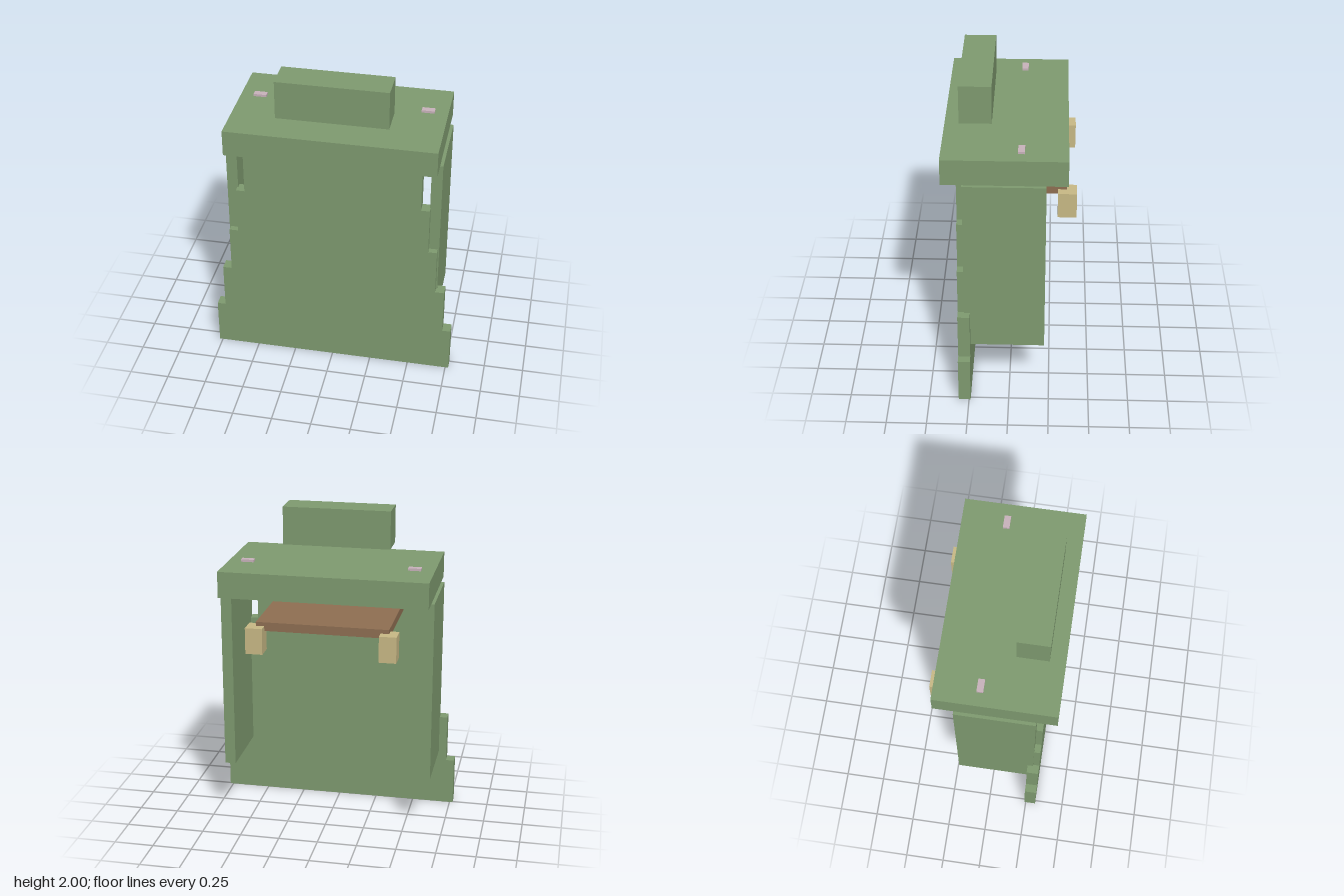
import * as THREE from 'three';

const green = new THREE.MeshStandardMaterial({ name: 'sage green', color: 0x7f9b70 });
const brown = new THREE.MeshStandardMaterial({ name: 'brown', color: 0x8f6f52 });
const tan = new THREE.MeshStandardMaterial({ name: 'tan', color: 0xc9ba86 });
const pink = new THREE.MeshStandardMaterial({ name: 'pale pink', color: 0xc9b3bc });

// Box given by its lower and upper limits on each axis
function block(name, material, [x0, x1], [y0, y1], [z0, z1]) {
  const mesh = new THREE.Mesh(new THREE.BoxGeometry(x1 - x0, y1 - y0, z1 - z0), material);
  mesh.position.set((x0 + x1) / 2, (y0 + y1) / 2, (z0 + z1) / 2);
  mesh.name = name;
  return mesh;
}

export function createModel() {
  const model = new THREE.Group();
  model.name = 'model';

  // Front panel: five steps, narrowing upwards
  const halfWidths = [0.77, 0.717, 0.66, 0.605, 0.55];
  const step = 1.52 / halfWidths.length;
  const right = halfWidths.flatMap((w, i) => [[w, i * step], [w, (i + 1) * step]]);
  const left = right.map(([x, y]) => [-x, y]).reverse();
  const outline = new THREE.Shape([...right, ...left].map(([x, y]) => new THREE.Vector2(x, y)));
  const panel = new THREE.Mesh(
    new THREE.ExtrudeGeometry(outline, { depth: 0.075, bevelEnabled: false }), green);
  panel.position.z = 0.24;
  panel.name = 'steppedFrontPanel';
  model.add(panel);

  // Top slab, raised block and the shelf beneath
  model.add(block('topSlab', green, [-0.648, 0.648], [1.52, 1.685], [-0.345, 0.4]));
  model.add(block('raisedBlock', green, [-0.343, 0.343], [1.757, 2], [0.11, 0.305]));
  model.add(block('shelf', brown, [-0.413, 0.413], [1.325, 1.38], [-0.34, 0.24]));

  // Mirrored parts
  for (const [side, s] of [['left', 1], ['right', -1]]) {
    const span = (a, b) => (s > 0 ? [a, b] : [-b, -a]);
    model.add(block(side + 'SidePanel', green, span(0.6, 0.668), [0.365, 1.52], [-0.218, 0.275]));
    model.add(block(side + 'ShelfEnd', tan, span(0.36, 0.467), [1.19, 1.355], [-0.4, -0.287]));
    model.add(block(side + 'TopStud', pink, span(0.485, 0.565), [1.685, 1.7], [-0.09, -0.05]));
  }
  return model;
}
